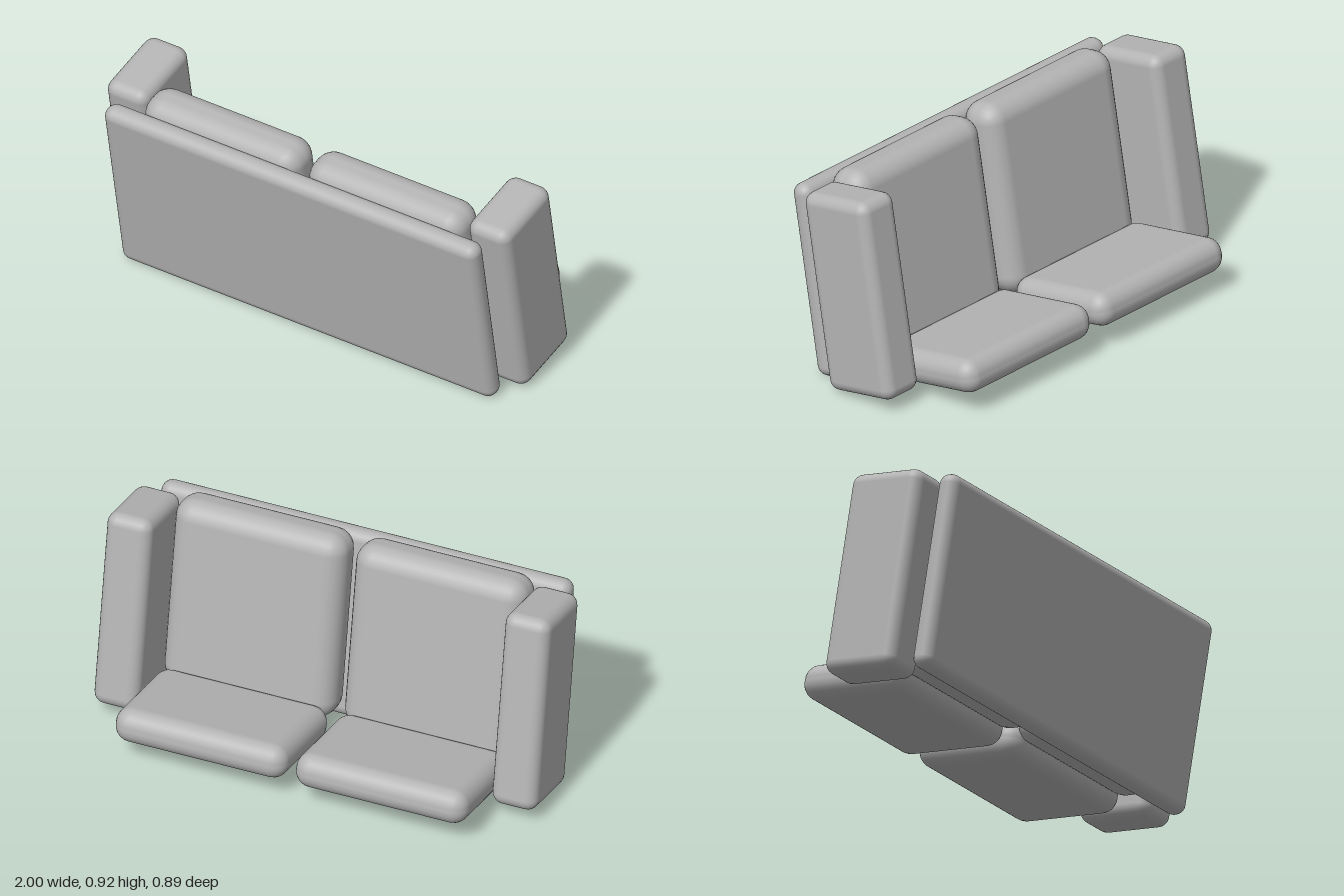
import * as THREE from 'three';
import { RoundedBoxGeometry } from 'three/addons/geometries/RoundedBoxGeometry.js';

const TILT = THREE.MathUtils.degToRad(10);

export function createModel() {
  const sofa = new THREE.Group();
  sofa.name = 'sofa';

  const upholstery = new THREE.MeshStandardMaterial({ color: 0xb4b4b4 });
  upholstery.name = 'grey upholstery';

  // every part is a rounded box leaning by the same angle
  function addPart(name, [w, h, d], radius, [x, y, z]) {
    const mesh = new THREE.Mesh(new RoundedBoxGeometry(w, h, d, 3, radius), upholstery);
    mesh.name = name;
    mesh.position.set(x, y, z);
    mesh.rotation.x = TILT;
    sofa.add(mesh);
  }

  // thin panel behind the cushions
  addPart('backPanel', [1.85, 0.858, 0.096], 0.046, [0, 0.425, 0.333]);

  // mirrored arms and cushions
  for (const [side, s] of [['left', 1], ['right', -1]]) {
    addPart(side + 'Arm', [0.204, 0.882, 0.358], 0.05, [s * 0.898, 0.467, 0.07]);
    addPart(side + 'BackCushion', [0.775, 0.847, 0.2], 0.085, [s * 0.407, 0.481, 0.211]);
    addPart(side + 'SeatCushion', [0.775, 0.153, 0.525], 0.07, [s * 0.407, 0.134, -0.185]);
  }

  return sofa;
}
